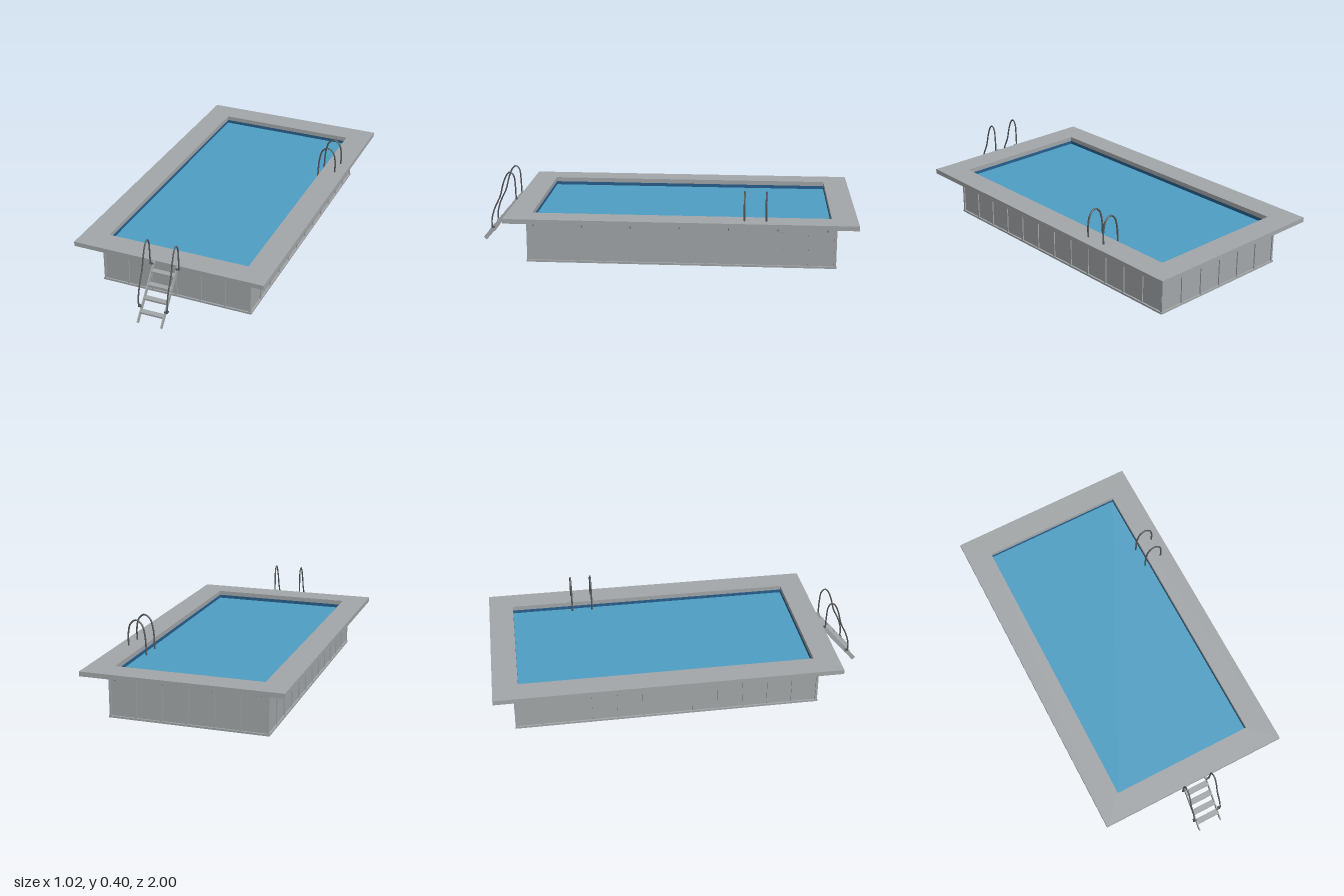
import * as THREE from 'three';

const mat = (name, color, side = THREE.FrontSide) => {
  const m = new THREE.MeshStandardMaterial({ color, side });
  m.name = name;
  return m;
};

export function createModel() {
  const grey = mat('panel grey', 0xa3a7a9);
  const dark = mat('dark rail metal', 0x58595b);
  const waterBlue = mat('water blue', 0x4f9fc4);
  const linerBlue = mat('liner blue', 0x28608e);

  const model = new THREE.Group();
  model.name = 'aboveGroundPool';
  const ZC = -0.105; // centre of the basin along z

  const add = (parent, name, geometry, material, x = 0, y = 0, z = 0) => {
    const mesh = new THREE.Mesh(geometry, material);
    mesh.name = name;
    mesh.position.set(x, y, z);
    parent.add(mesh);
    return mesh;
  };
  const box = (parent, name, w, h, d, material, x, y, z) =>
    add(parent, name, new THREE.BoxGeometry(w, h, d), material, x, y, z);

  // Rectangular ring with half sizes (ox, oz) outside and (ix, iz) inside
  const ring = (name, ox, oz, ix, iz, y0, y1, material) => {
    const rect = (Type, a, b) => new Type([[-a, -b], [a, -b], [a, b], [-a, b]].map(p => new THREE.Vector2(...p)));
    const shape = rect(THREE.Shape, ox, oz);
    shape.holes.push(rect(THREE.Path, ix, iz));
    const geo = new THREE.ExtrudeGeometry(shape, { depth: y1 - y0, bevelEnabled: false });
    geo.rotateX(-Math.PI / 2);
    return add(model, name, geo, material, 0, y0, ZC);
  };

  // Square bar between two points, width measured sideways
  const bar = (parent, name, a, b, width, depth, material) => {
    const mesh = box(parent, name, width, depth, a.distanceTo(b), material, 0, 0, 0);
    mesh.position.copy(a).add(b).multiplyScalar(0.5);
    mesh.lookAt(b);
    return mesh;
  };

  // Bent round tube through points
  const tube = (parent, name, points, radius) => {
    const curve = new THREE.CatmullRomCurve3(points.map(p => new THREE.Vector3(...p)));
    return add(parent, name, new THREE.TubeGeometry(curve, 40, radius, 8), dark);
  };

  // Basin and deck
  ring('deck', 0.51, 0.895, 0.38, 0.765, 0.232, 0.256, grey);
  ring('walls', 0.4, 0.788, 0.385, 0.77, 0.004, 0.232, grey);
  ring('liner', 0.385, 0.77, 0.38, 0.765, 0.008, 0.232, linerBlue);
  ring('baseRail', 0.409, 0.796, 0.395, 0.782, 0, 0.01, grey);
  box(model, 'poolFloor', 0.79, 0.006, 1.564, linerBlue, 0, 0.005, ZC);
  box(model, 'water', 0.76, 0.004, 1.53, waterBlue, 0, 0.212, ZC);

  // Wall posts
  const posts = new THREE.Group();
  posts.name = 'wallPosts';
  model.add(posts);
  for (const s of [-1, 1]) {
    for (let i = 0; i <= 6; i++)
      box(posts, 'endPost', 0.01, 0.222, 0.008, grey, -0.4 + i * 0.8 / 6, 0.121, ZC + s * 0.79);
    for (let i = 0; i <= 12; i++)
      box(posts, 'sidePost', 0.008, 0.222, 0.01, grey, s * 0.402, 0.121, ZC - 0.787 + i * 1.574 / 12);
  }

  // Diagonal deck struts
  const struts = new THREE.Group();
  struts.name = 'deckStruts';
  model.add(struts);
  const V = (x, y, z) => new THREE.Vector3(x, y, z);
  for (const s of [-1, 1]) {
    for (const x of [-0.37, -0.123, 0.123, 0.37])
      bar(struts, 'endStrut', V(x, 0.192, ZC + s * 0.79), V(x, 0.233, ZC + s * 0.85), 0.005, 0.005, grey);
    for (let i = 0; i < 7; i++) {
      const z = 0.65 - i * 0.25;
      bar(struts, 'sideStrut', V(s * 0.402, 0.192, z), V(s * 0.462, 0.233, z), 0.005, 0.005, grey);
    }
  }

  // Boarding ladder at the front
  const ladder = new THREE.Group();
  ladder.name = 'frontLadder';
  model.add(ladder);
  const slopeZ = y => 0.988 - (y - 0.015) * 0.85;
  for (const y of [0.06, 0.112, 0.164, 0.215])
    box(ladder, 'tread', 0.122, 0.009, 0.03, grey, 0, y, slopeZ(y));
  for (const s of [-1, 1]) {
    bar(ladder, 'stringer', V(s * 0.063, 0.015, slopeZ(0.015)), V(s * 0.063, 0.245, slopeZ(0.245)), 0.005, 0.022, grey);
    box(ladder, 'deckHook', 0.012, 0.016, 0.014, grey, s * 0.063, 0.246, 0.796);
    tube(ladder, 'handrail', [
      [s * 0.077, 0.078, 0.943], [s * 0.077, 0.125, 0.944], [s * 0.077, 0.19, 0.926],
      [s * 0.077, 0.26, 0.893], [s * 0.077, 0.33, 0.874], [s * 0.077, 0.38, 0.852],
      [s * 0.077, 0.394, 0.834], [s * 0.077, 0.375, 0.815], [s * 0.077, 0.32, 0.808],
      [s * 0.077, 0.245, 0.806]], 0.004);
    box(ladder, 'lowerRailMount', 0.018, 0.007, 0.016, dark, s * 0.07, 0.083, 0.94);
    box(ladder, 'upperRailMount', 0.018, 0.007, 0.01, dark, s * 0.07, 0.246, 0.804);
  }

  // Arched grab rails at the side, reaching into the water
  const grabRails = new THREE.Group();
  grabRails.name = 'sideGrabRails';
  model.add(grabRails);
  for (const z of [-0.54, -0.43])
    tube(grabRails, 'grabRail', [
      [0.357, 0.18, z], [0.358, 0.256, z], [0.363, 0.32, z], [0.379, 0.374, z], [0.41, 0.395, z],
      [0.44, 0.374, z], [0.454, 0.32, z], [0.453, 0.25, z]], 0.0045);

  return model;
}
